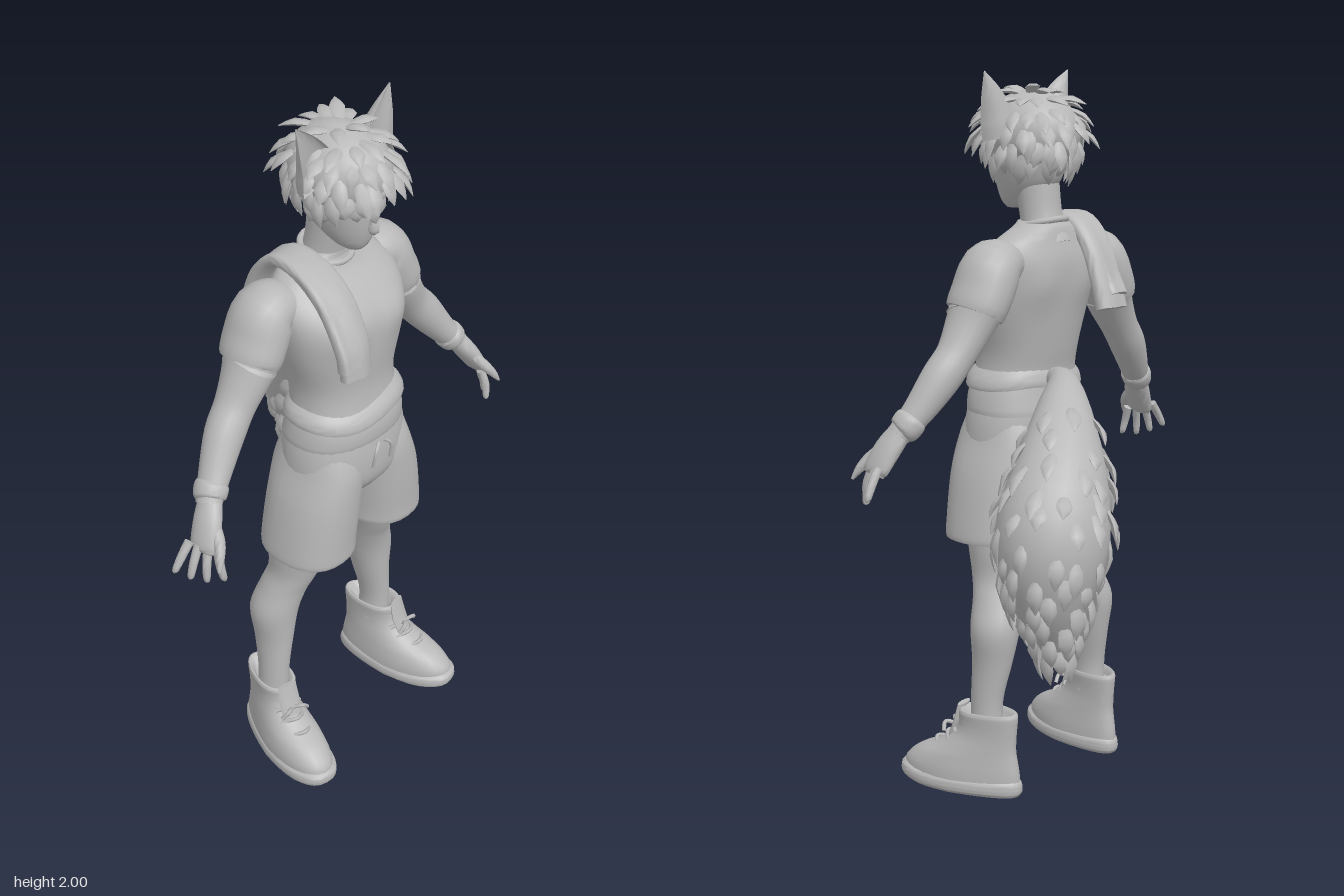
import * as THREE from 'three';
import { mergeGeometries, toCreasedNormals } from 'three/addons/utils/BufferGeometryUtils.js';

const V = (x, y, z) => new THREE.Vector3(x, y, z);
const grey = new THREE.MeshStandardMaterial({ color: 0xb8b8b8 });
grey.name = 'clay grey';

// small seeded random
let seed = 7;
const rnd = () => (seed = (seed * 16807) % 2147483647) / 2147483647;
const jit = a => (rnd() - 0.5) * 2 * a;

// Loft elliptical rings through sections [x, y, z, rA, rB].
// level keeps rings horizontal; ref is the direction of rB; dent hollows the +B side.
function loft(sections, { seg = 20, sub = 4, level = false, ref = V(0, 0, 1), pow = 1, dent = false, warp = null, crease = 0.9 } = {}) {
  const path = new THREE.CatmullRomCurve3(sections.map(s => V(s[0], s[1], s[2])), false, 'catmullrom', 0.5);
  const size = new THREE.CatmullRomCurve3(sections.map(s => V(s[3], s[4], 0)), false, 'catmullrom', 0.5);
  const n = (sections.length - 1) * sub, pos = [], idx = [];
  const sp = v => Math.sign(v) * Math.abs(v) ** pow;
  for (let i = 0; i <= n; i++) {
    const c = path.getPoint(i / n), r = size.getPoint(i / n);
    const T = level ? V(0, 1, 0) : path.getTangent(i / n);
    const B = ref.clone().addScaledVector(T, -ref.dot(T)).normalize();
    const A = T.clone().cross(B);
    for (let j = 0; j < seg; j++) {
      const a = j / seg * Math.PI * 2;
      let b = sp(Math.sin(a));
      if (dent && b > 0) b *= -0.5;
      const p = c.clone().addScaledVector(A, sp(Math.cos(a)) * Math.max(r.x, 0.001)).addScaledVector(B, b * Math.max(r.y, 0.001));
      if (warp) warp(p);
      pos.push(p.x, p.y, p.z);
    }
  }
  for (let i = 0; i < n; i++) for (let j = 0; j < seg; j++) {
    const a = i * seg + j, b = i * seg + (j + 1) % seg;
    idx.push(a, a + seg, b, b, a + seg, b + seg);
  }
  // end caps
  for (const [i, flip] of [[0, false], [n, true]]) {
    const c = path.getPoint(i / n), k = pos.length / 3;
    if (warp) warp(c);
    pos.push(c.x, c.y, c.z);
    for (let j = 0; j < seg; j++) {
      const a = i * seg + j, b = i * seg + (j + 1) % seg;
      if (flip) idx.push(k, b, a); else idx.push(k, a, b);
    }
  }
  const g = new THREE.BufferGeometry();
  g.setAttribute('position', new THREE.Float32BufferAttribute(pos, 3));
  g.setIndex(idx);
  return toCreasedNormals(g, crease);
}

// Pointed lock of hair or fur lying along dir, bending away from the surface
function tuft(p, dir, normal, len, w) {
  const m = p.clone().addScaledVector(dir, len * 0.5).addScaledVector(normal, len * 0.1);
  const t = p.clone().addScaledVector(dir, len);
  return loft([[...p, w * 0.6, w * 0.3], [...m, w, w * 0.4], [...t, 0.001, 0.001]], { seg: 6, sub: 2, ref: normal });
}

export function createModel() {
  seed = 7;
  const model = new THREE.Group();
  const add = (name, geo, parent = model) => {
    const m = new THREE.Mesh(geo, grey);
    m.name = name;
    parent.add(m);
    return m;
  };
  const tube = (pts, r) => new THREE.TubeGeometry(new THREE.CatmullRomCurve3(pts), 12, r, 6);

  // Shirt with chest and shoulder-blade relief
  add('shirt', loft([
    [0, 1.10, .165, .15, .11], [0, 1.07, .165, .178, .132], [0, 1.12, .17, .172, .13], [0, 1.18, .165, .155, .118],
    [0, 1.25, .155, .155, .12], [0, 1.35, .15, .182, .13], [0, 1.44, .14, .2, .13], [0, 1.5, .12, .2, .112],
    [0, 1.55, .1, .165, .08], [0, 1.585, .095, .095, .066], [0, 1.6, .1, .068, .06]],
  { level: true, seg: 36, pow: 0.88, warp: p => {
    const k = Math.exp(-(((Math.abs(p.x) - .09) / .06) ** 2) - ((p.y - 1.43) / .06) ** 2);
    p.z += (p.z > .14 ? .018 : -.012) * k;
  } }));
  add('shirtHemFold', loft([[0, 1.15, .17, .15, .11], [0, 1.14, .17, .178, .134], [0, 1.17, .168, .172, .13], [0, 1.2, .163, .145, .11]],
    { level: true, seg: 32, pow: 0.9, warp: p => { p.y += .01 * Math.sin(p.x * 18); } }));
  const collar = add('collar', new THREE.TorusGeometry(.068, .009, 8, 28));
  collar.position.set(0, 1.59, .1);
  collar.rotation.x = Math.PI / 2 + .25;

  // Shorts
  add('shortsSeat', loft([[0, .9, .17, .1, .1], [0, .95, .17, .18, .13], [0, 1.03, .17, .186, .135], [0, 1.11, .167, .17, .128]],
    { level: true, seg: 32, pow: 0.88 }));
  for (const s of [1, -1]) {
    add('drawstring', tube([V(s * .01, 1.07, .306), V(s * .03, 1.05, .315), V(s * .035, 1.0, .31)], .005));
  }

  // Neck, head and face
  add('neck', loft([[0, 1.53, .08, .075, .07], [0, 1.6, .1, .06, .058], [0, 1.72, .12, .058, .065]]));
  add('head', loft([[0, 1.63, .19, .025, .03], [0, 1.65, .178, .047, .058], [0, 1.7, .152, .073, .098], [0, 1.77, .142, .09, .114],
    [0, 1.85, .135, .095, .12], [0, 1.92, .13, .07, .09], [0, 1.95, .13, .02, .03]], { level: true, seg: 28 }));
  add('nose', loft([[0, 1.76, .25, .008, .006], [0, 1.72, .256, .011, .014], [0, 1.70, .254, .014, .018], [0, 1.692, .245, .006, .006]], { seg: 10, sub: 3 }));
  add('mouth', loft([[-.022, 1.669, .226, .004, .003], [0, 1.669, .237, .005, .006], [.022, 1.669, .226, .004, .003]], { seg: 8 }));

  // Hair cap with rows of locks falling away from the crown
  const C = V(0, 1.835, .138), R = V(.122, .113, .145);
  const cap = new THREE.SphereGeometry(1, 32, 20);
  cap.scale(R.x, R.y, R.z);
  add('hairCap', cap).position.copy(C);
  const locks = [];
  for (const [deg, count] of [[12, 6], [35, 13], [58, 18], [80, 22], [100, 24], [118, 22]]) {
    for (let i = 0; i < count; i++) {
      const t = (deg + jit(5)) * Math.PI / 180, f = (i + jit(.3)) / count * Math.PI * 2;
      const n = V(Math.sin(t) * Math.sin(f), Math.cos(t), Math.sin(t) * Math.cos(f));
      const down = V(Math.cos(t) * Math.sin(f), -Math.sin(t), Math.cos(t) * Math.cos(f));
      const dir = down.addScaledVector(n, .32 + jit(.15)).add(V(jit(.3), jit(.1), jit(.3))).normalize();
      const front = Math.cos(f) > .6 && deg > 90;
      locks.push(tuft(n.clone().multiply(R).multiplyScalar(.94).add(C), dir, n, (front ? .055 : .08) + jit(.015), .02));
    }
  }
  add('hairLocks', mergeGeometries(locks));

  // Towel over the right shoulder, two layers
  [[0, 0, .05], [-.028, .035, .036]].forEach(([dx, dy, w], i) => add(i ? 'towelUpperLayer' : 'towel', loft([
    [-.128 + dx, 1.36 + dy, .325, .022, w], [-.128 + dx, 1.45, .31, .02, w], [-.122 + dx, 1.545, .245, .019, w], [-.115 + dx * .7, 1.595, .15, .018, w],
    [-.11 + dx * .5, 1.595, .06, .018, w], [-.105, 1.53, -.005, .019, w], [-.1 + dx * .5, 1.44, -.045, .02, w], [-.098 + dx * .5, 1.36 + dy, -.07, .022, w]],
  { ref: V(1, 0, 0), pow: 0.6, warp: p => { p.z += .005 * Math.sin(p.x * 90); } })));

  // Mirrored parts
  for (const s of [1, -1]) {
    const side = s > 0 ? 'left' : 'right';
    const mir = a => a.map(q => [q[0] * s, ...q.slice(1)]);

    add(side + 'Ear', loft(mir([[.1, 1.83, .17, .06, .06], [.112, 1.885, .172, .054, .055], [.138, 1.945, .165, .033, .033], [.168, 2.0, .152, .002, .002]]),
      { dent: true, seg: 24 }));

    add(side + 'ShortsLeg', loft(mir([[.137, .76, .17, .095, .105], [.137, .72, .17, .115, .13], [.133, .77, .17, .115, .133],
      [.115, .9, .172, .108, .134], [.095, 1.0, .17, .093, .13], [.085, 1.08, .17, .08, .1]]), { level: true, seg: 28, pow: 0.88 }));

    add(side + 'Leg', loft(mir([[.222, .18, .115, .045, .05], [.222, .27, .115, .04, .05], [.21, .38, .105, .05, .062], [.202, .48, .1, .067, .072],
      [.178, .56, .115, .064, .07], [.16, .62, .133, .062, .074], [.145, .7, .14, .076, .09], [.13, .85, .16, .088, .1]]), { level: true }));

    // Arm, sleeve and wrist
    add(side + 'Arm', loft(mir([[.16, 1.49, .1, .05, .06], [.215, 1.485, .09, .072, .082], [.25, 1.42, .09, .07, .088], [.29, 1.345, .098, .06, .072],
      [.34, 1.27, .102, .052, .056], [.39, 1.21, .112, .053, .053], [.45, 1.13, .135, .041, .044], [.5, 1.07, .16, .03, .036]])));
    add(side + 'Sleeve', loft(mir([[.15, 1.5, .1, .055, .065], [.213, 1.487, .09, .076, .086], [.25, 1.425, .09, .074, .092], [.276, 1.372, .095, .07, .086],
      [.272, 1.38, .095, .05, .06]])));
    add(side + 'Wristband', loft(mir([[.462, 1.117, .14, .03, .033], [.47, 1.107, .143, .042, .046], [.488, 1.083, .152, .04, .044], [.494, 1.076, .156, .028, .03]])));

    // Hand
    add(side + 'Palm', loft(mir([[.492, 1.08, .158, .028, .034], [.522, 1.035, .177, .027, .043], [.55, .985, .192, .02, .044], [.556, .968, .195, .012, .035]])));
    for (let i = 0; i < 4; i++) {
      const d = (i - 1.5) * .025, l = [.85, 1, 1.05, .95][i];
      const b = [.555 - d * .5, .985 - d * .2, .193 + d * .85];
      add(side + 'Finger', loft(mir([[...b, .012, .013], [b[0] + .018 * l - d * .3, b[1] - .045 * l, b[2] + .006 + d * .25, .0115, .012],
        [b[0] + .026 * l - d * .6, b[1] - .083 * l, b[2] + .008 + d * .4, .009, .009], [b[0] + .027 * l - d * .6, b[1] - .091 * l, b[2] + .008 + d * .4, .003, .003]]), { seg: 10 }));
    }
    add(side + 'Thumb', loft(mir([[.515, 1.04, .195, .014, .016], [.535, 1.005, .232, .016, .016], [.555, .975, .253, .012, .012], [.57, .948, .266, .004, .004]]), { seg: 10 }));

    // High-top shoe, toes turned out
    const shoe = new THREE.Group();
    shoe.name = side + 'Shoe';
    shoe.position.set(s * .225, 0, .1);
    shoe.rotation.y = s * .2;
    model.add(shoe);
    const heel = p => { p.x *= p.z < .1 ? .82 + Math.max(p.z, -.1) * 1.8 : 1; };
    add('sole', loft([[0, 0, .095, .072, .185], [0, .012, .097, .082, .195], [0, .035, .097, .081, .194], [0, .045, .095, .07, .185]],
      { level: true, seg: 32, pow: 0.8, warp: p => { heel(p); p.y = Math.max(0, p.y) + Math.max(0, p.z - .2) * .1; } }), shoe);
    add('shoeUpper', loft([[0, .03, .095, .078, .188], [0, .065, .093, .077, .184], [0, .1, .075, .072, .16], [0, .13, .045, .066, .125], [0, .165, .018, .06, .099],
      [0, .2, .006, .06, .09], [0, .235, .004, .064, .09], [0, .24, .004, .055, .078], [0, .22, .006, .042, .055]],
    { level: true, seg: 28, pow: 0.9, warp: heel }), shoe);
    add('shoeTongue', loft([[0, .15, .12, .032, .01], [0, .2, .1, .034, .011], [0, .25, .088, .03, .008]], { seg: 12 }), shoe);
    for (const [y, z] of [[.125, .172], [.15, .135], [.178, .112]]) {
      add('lace', tube([V(-.042, y - .008, z - .02), V(0, y + .006, z + .006), V(.042, y - .008, z - .02)], .006), shoe);
    }
    for (const k of [1, -1]) add('laceBow', tube([V(0, .18, .115), V(k * .025, .19, .135), V(k * .045, .168, .128)], .006), shoe);
  }

  // Bushy tail with tufts of fur along it
  const spine = [[0, 1.165, .06, .03, .03], [.05, 1.165, -.02, .042, .042], [.14, 1.105, -.1, .078, .078], [.24, .97, -.175, .13, .125],
    [.315, .83, -.215, .152, .15], [.33, .69, -.22, .118, .125], [.312, .55, -.22, .055, .06], [.3, .45, -.22, .002, .002]];
  add('tail', loft(spine, { seg: 24 }));
  const curve = new THREE.CatmullRomCurve3(spine.map(q => V(q[0], q[1], q[2])), false, 'catmullrom', 0.5);
  const girth = new THREE.CatmullRomCurve3(spine.map(q => V(q[3], q[4], 0)), false, 'catmullrom', 0.5);
  const fur = [];
  for (let i = 0; i < 11; i++) {
    const u = .34 + i * .054, count = i < 2 || i > 8 ? 8 : 12;
    for (let j = 0; j < count; j++) {
      const t = u + jit(.02), a = (j + (i % 2) / 2 + jit(.25)) / count * Math.PI * 2;
      const c = curve.getPoint(t), T = curve.getTangent(t);
      const B = V(0, 0, 1).addScaledVector(T, -T.z).normalize(), A = T.clone().cross(B);
      const n = A.multiplyScalar(Math.cos(a)).addScaledVector(B, Math.sin(a));
      const slope = girth.getTangent(t).x > 0 ? .3 : -.15;
      const dir = T.clone().addScaledVector(n, slope + .12).normalize();
      fur.push(tuft(c.addScaledVector(n, girth.getPoint(t).x * .95), dir, n, .085 + jit(.02), .022));
    }
  }
  add('tailFur', mergeGeometries(fur));
  return model;
}
